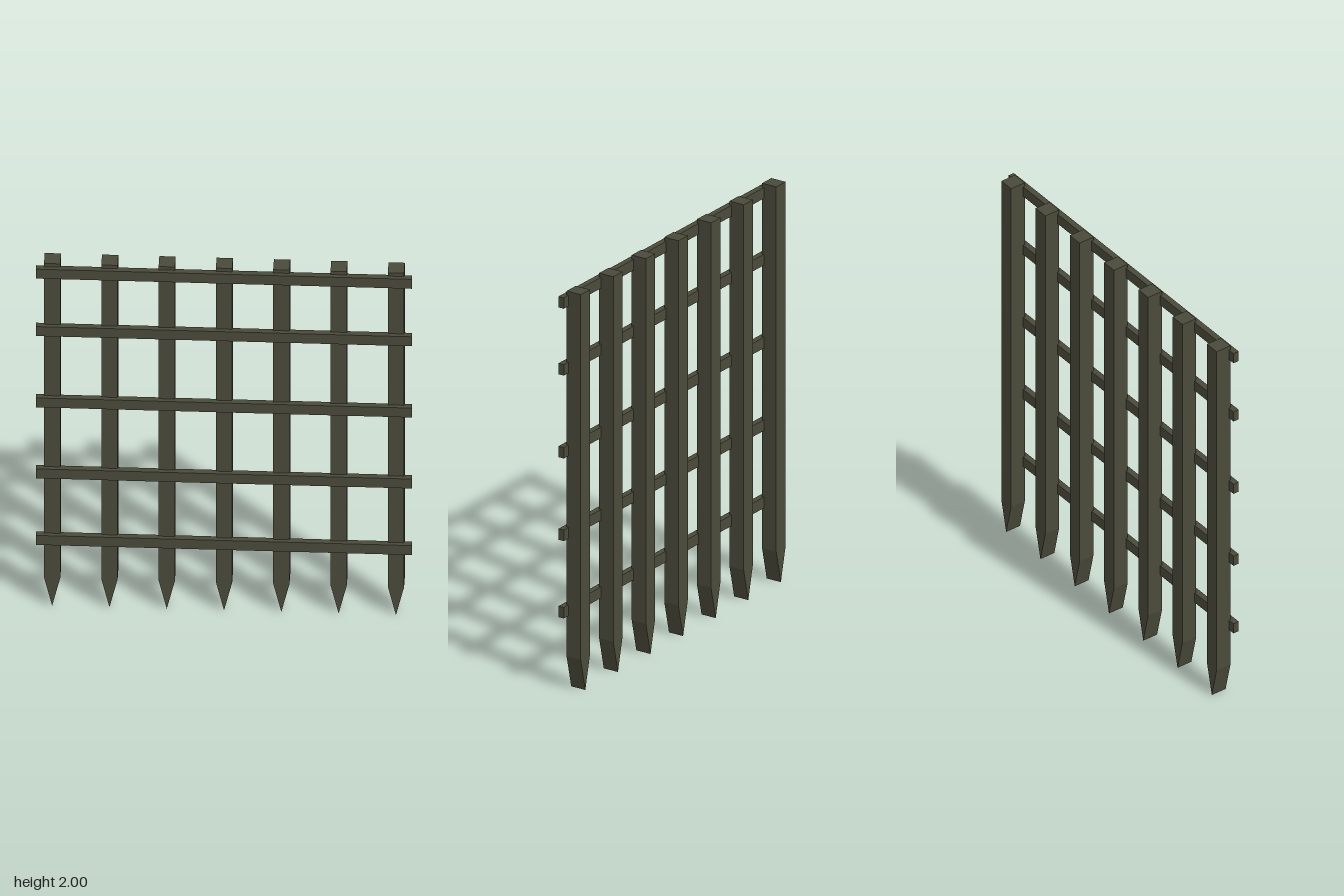
import * as THREE from 'three';

const BAR_WIDTH = 0.076, BAR_BACK = -0.05, BAR_FRONT = 0.03;
const RAIL_LENGTH = 1.75, RAIL_HEIGHT = 0.055, RAIL_BACK = 0.02, RAIL_FRONT = 0.05;

export function createModel() {
  const gate = new THREE.Group();
  gate.name = 'portcullis';

  const iron = new THREE.MeshStandardMaterial({ color: 0x4a4a3b });
  iron.name = 'dark olive iron';

  // Upright bar: square section, sharpened to a wedge at the foot
  const half = BAR_WIDTH / 2;
  const outline = new THREE.Shape();
  outline.moveTo(0, 0);
  outline.lineTo(half, 0.165);
  outline.lineTo(half, 2);
  outline.lineTo(-half, 2);
  outline.lineTo(-half, 0.165);
  outline.closePath();
  const barGeometry = new THREE.ExtrudeGeometry(outline, { depth: BAR_FRONT - BAR_BACK, bevelEnabled: false });
  barGeometry.translate(0, 0, BAR_BACK);

  for (let i = 0; i < 7; i++) {
    const bar = new THREE.Mesh(barGeometry, iron);
    bar.name = `uprightBar${i + 1}`;
    bar.position.x = -0.8 + (i * 1.6) / 6;
    gate.add(bar);
  }

  // Cross rails, let slightly into the front of the bars
  const railGeometry = new THREE.BoxGeometry(RAIL_LENGTH, RAIL_HEIGHT, RAIL_FRONT - RAIL_BACK);
  [0.396, 0.785, 1.2, 1.617, 1.953].forEach((y, i) => {
    const rail = new THREE.Mesh(railGeometry, iron);
    rail.name = `crossRail${i + 1}`;
    rail.position.set(0, y, (RAIL_BACK + RAIL_FRONT) / 2);
    gate.add(rail);
  });

  return gate;
}
